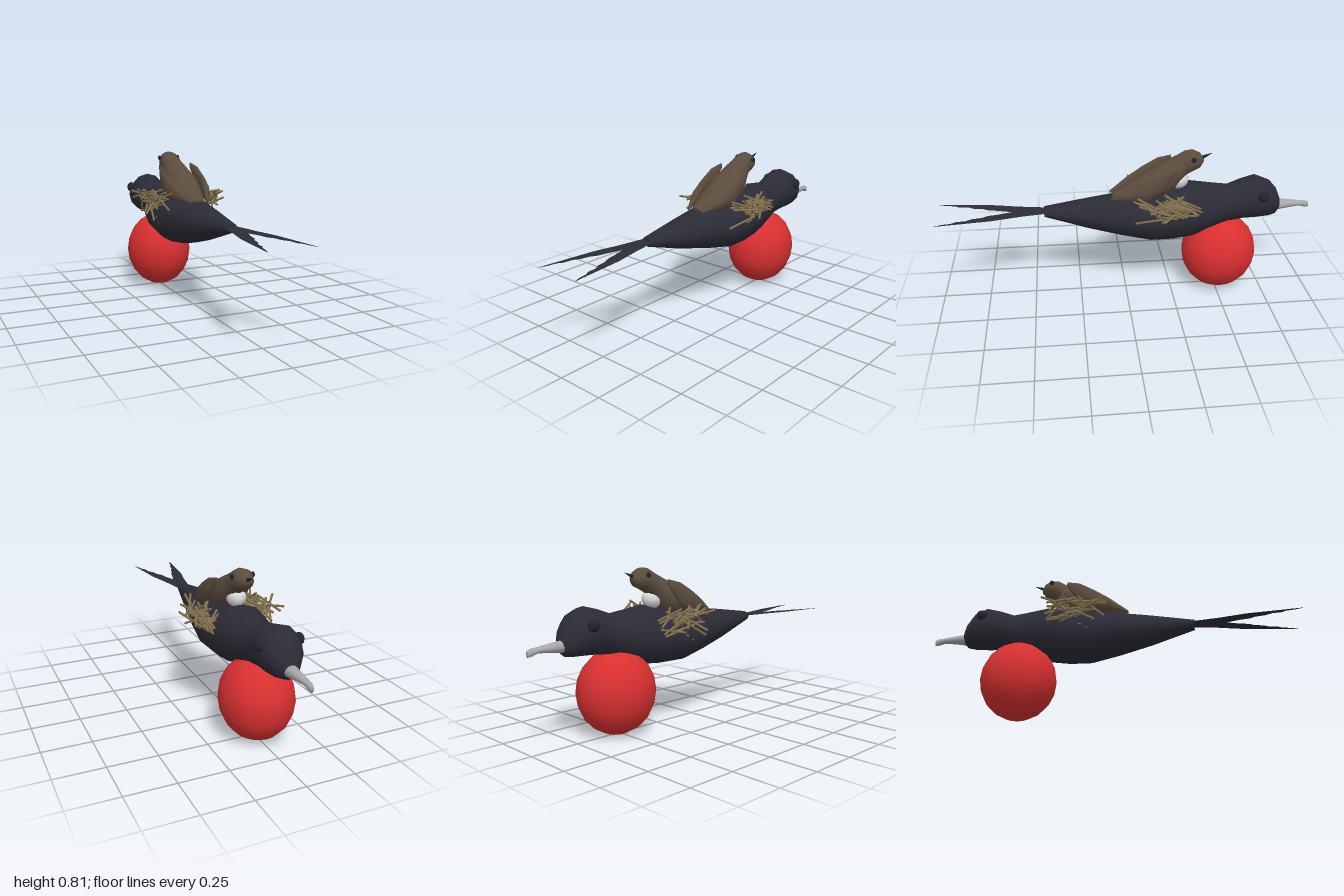
import * as THREE from 'three';

function material(name, color) {
  const m = new THREE.MeshStandardMaterial({ color });
  m.name = name;
  return m;
}

// Closed skin over elliptical rings, listed from +z to -z as [z, cx, cy, rx, ry]
function loft(stations, sides = 12) {
  const pos = [], index = [], n = stations.length;
  for (const [z, cx, cy, rx, ry] of stations) {
    for (let j = 0; j < sides; j++) {
      const a = (j / sides) * Math.PI * 2;
      pos.push(cx + Math.sin(a) * rx, cy + Math.cos(a) * ry, z);
    }
  }
  for (const s of [stations[0], stations[n - 1]]) pos.push(s[1], s[2], s[0]);
  const first = n * sides, last = first + 1, end = (n - 1) * sides;
  for (let j = 0; j < sides; j++) {
    const k = (j + 1) % sides;
    for (let i = 0; i < n - 1; i++) {
      const a = i * sides + j, b = i * sides + k;
      index.push(a, b, a + sides, b, b + sides, a + sides);
    }
    index.push(first, k, j, last, end + j, end + k);
  }
  const g = new THREE.BufferGeometry();
  g.setAttribute('position', new THREE.Float32BufferAttribute(pos, 3));
  g.setIndex(index);
  g.computeVertexNormals();
  return g;
}

// Cylinder or cone running between two points
function rod(from, to, r0, r1, sides) {
  const dir = to.clone().sub(from), len = dir.length();
  const g = new THREE.CylinderGeometry(r1, r0, len, sides);
  g.applyQuaternion(new THREE.Quaternion().setFromUnitVectors(new THREE.Vector3(0, 1, 0), dir.normalize()));
  return g.translate(...from.clone().add(to).multiplyScalar(0.5).toArray());
}

function ball(x, y, z, rx, ry, rz, w = 12, h = 8) {
  return new THREE.SphereGeometry(1, w, h).scale(rx, ry, rz).translate(x, y, z);
}

export function createModel() {
  const model = new THREE.Group();
  const black = material('blackPlumage', 0x2b2c36);
  black.side = THREE.DoubleSide;
  const red = material('redPouch', 0xd93030);
  const grey = material('greyBeak', 0xa8a8a8);
  const brown = material('brownPlumage', 0x5b4c3e);
  const straw = material('straw', 0x84724f);
  const dark = material('darkEye', 0x22242f);
  const white = material('whiteBreast', 0xdcdcdc);
  const add = (name, geometry, mat, parent = model) => {
    const mesh = new THREE.Mesh(geometry, mat);
    mesh.name = name;
    parent.add(mesh);
    return mesh;
  };

  // Large bird, head towards -z
  add('body', loft([
    [0.43, 0, 0.495, 0.035, 0.026], [0.2, 0, 0.475, 0.085, 0.08],
    [0.03, 0, 0.463, 0.122, 0.113], [-0.13, 0, 0.45, 0.15, 0.135],
    [-0.25, 0, 0.46, 0.15, 0.145], [-0.35, 0, 0.477, 0.143, 0.15],
    [-0.48, 0, 0.49, 0.11, 0.12], [-0.55, 0, 0.5, 0.092, 0.102],
    [-0.62, 0, 0.52, 0.1, 0.108], [-0.7, 0, 0.533, 0.113, 0.116],
    [-0.77, 0, 0.52, 0.095, 0.1], [-0.81, 0, 0.5, 0.062, 0.073],
    [-0.83, 0, 0.488, 0.033, 0.038],
  ]), black);
  add('beak', loft([
    [-0.8, 0, 0.475, 0.037, 0.033], [-0.89, 0, 0.477, 0.025, 0.021],
    [-0.95, 0, 0.476, 0.017, 0.014], [-0.98, 0, 0.47, 0.015, 0.019],
    [-1, 0, 0.465, 0.008, 0.016],
  ]), grey);
  add('throatPouch', ball(0, 0.215, -0.515, 0.185, 0.214, 0.204, 20, 10), red);

  // Forked tail with ragged inner edges
  const outline = [[0, 0.41], [0.035, 0.41], [0.06, 0.56], [0.092, 0.7], [0.124, 0.99], [0.108, 0.95],
    [0.098, 0.9], [0.084, 0.88], [0.078, 0.83], [0.06, 0.8], [0.05, 0.75], [0.032, 0.72], [0.022, 0.67], [0, 0.6]];
  for (const s of [1, -1]) {
    const shape = new THREE.Shape(outline.map(([x, z]) => new THREE.Vector2(s * x, z)));
    add(s > 0 ? 'leftTailFeather' : 'rightTailFeather',
      new THREE.ShapeGeometry(shape).rotateX(Math.PI / 2).translate(0, 0.5, 0), black);
    add('eye', ball(s * 0.1, 0.57, -0.715, 0.024, 0.03, 0.03), dark);
  }

  // Small bird sitting on the back
  const rider = new THREE.Group();
  rider.name = 'smallBird';
  model.add(rider);
  add('smallBody', loft([
    [0.07, 0, 0.575, 0.03, 0.012], [-0.03, 0, 0.602, 0.065, 0.045],
    [-0.13, 0, 0.635, 0.085, 0.077], [-0.22, 0, 0.663, 0.08, 0.095],
    [-0.27, 0, 0.7, 0.064, 0.082], [-0.31, 0, 0.74, 0.057, 0.065],
    [-0.35, 0, 0.754, 0.057, 0.056], [-0.385, 0, 0.753, 0.042, 0.04],
    [-0.405, 0, 0.755, 0.014, 0.014],
  ]), brown, rider);
  add('breast', ball(0, 0.65, -0.275, 0.05, 0.05, 0.058), white, rider);
  add('smallBeak', rod(new THREE.Vector3(0, 0.763, -0.39), new THREE.Vector3(0, 0.79, -0.455), 0.012, 0, 8), dark, rider);
  for (const s of [1, -1]) {
    add('wing', loft([
      [0.08, s * 0.045, 0.572, 0.008, 0.008], [-0.02, s * 0.085, 0.607, 0.022, 0.035],
      [-0.1, s * 0.104, 0.632, 0.018, 0.055], [-0.18, s * 0.105, 0.677, 0.015, 0.055],
      [-0.25, s * 0.092, 0.735, 0.005, 0.016],
    ], 8), brown, rider);
    add('smallEye', ball(s * 0.055, 0.775, -0.345, 0.009, 0.014, 0.014, 8, 6), dark, rider);
  }

  // Loose twigs heaped on both flanks
  const nest = new THREE.Group();
  nest.name = 'nest';
  model.add(nest);
  let seed = 11;
  const rand = () => (seed = (seed * 16807) % 2147483647) / 2147483647;
  const spread = (w) => (rand() * 2 - 1) * w;
  for (const s of [1, -1]) {
    for (let i = 0; i < 36; i++) {
      const drop = rand() ** 2;
      const mid = new THREE.Vector3(s * (0.125 + rand() * 0.07), 0.585 - drop * 0.1, -0.2 + spread(0.11));
      const half = new THREE.Vector3(spread(0.6), spread(0.5), 0.4 + rand() * 0.6)
        .setLength(0.055 + rand() * 0.035);
      add('twig', rod(mid.clone().sub(half), mid.clone().add(half), 0.006, 0.006, 6), straw, nest);
    }
  }
  return model;
}
